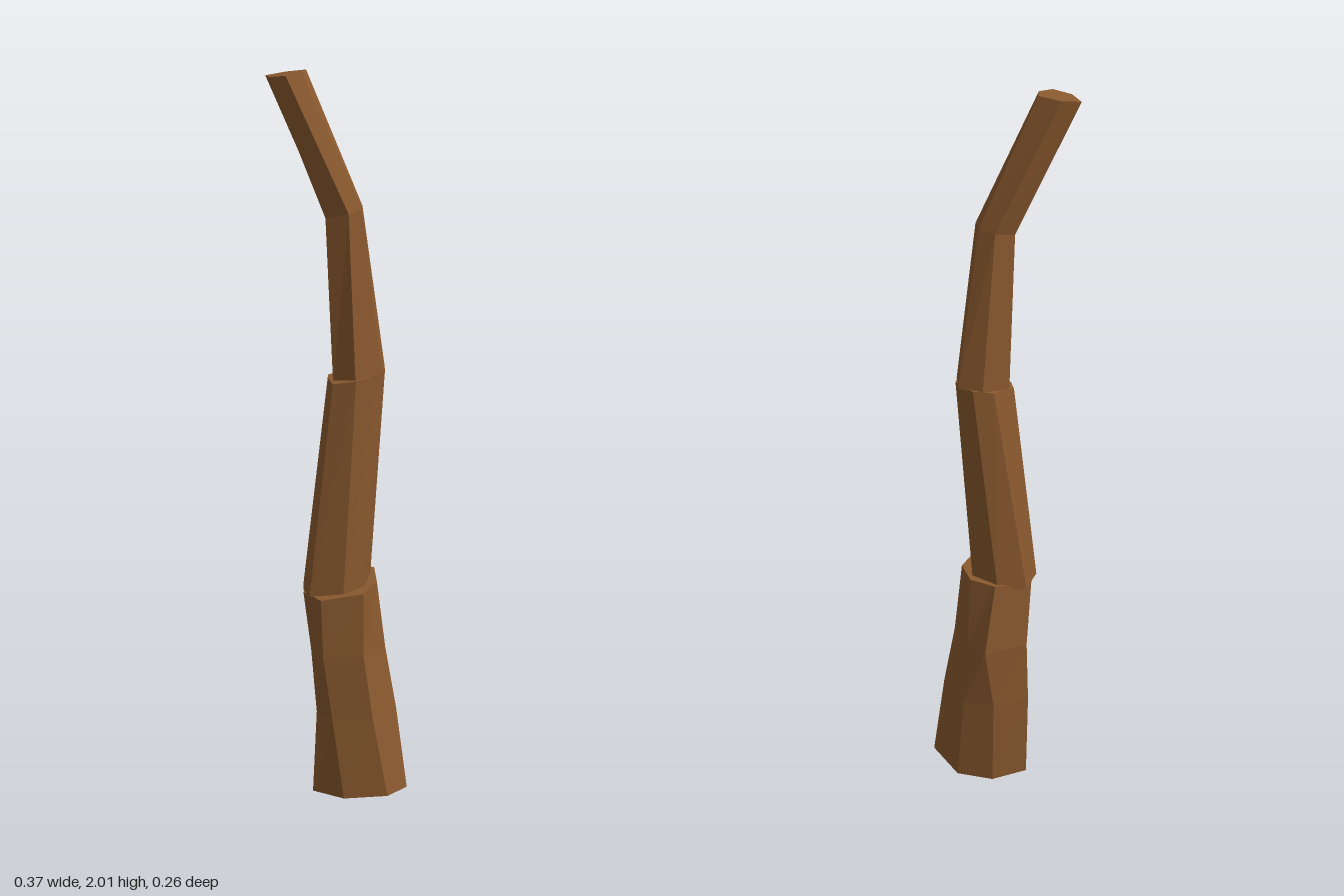
import * as THREE from 'three';

// Each ring: centre height y, slope along x and z, and corner points [x, z]
// listed from the left side around the front to the right and back.
const ring = (y, slopeX, slopeZ, points) =>
  points.map(([x, z]) => [x, y + slopeX * x + slopeZ * z, z]);

// Skins a stack of rings with flat faces and closes both ends.
function loft(name, rings, material) {
  const position = [];
  const tri = (a, b, c) => position.push(...a, ...b, ...c);
  const n = rings[0].length;
  for (let r = 0; r + 1 < rings.length; r++) {
    const low = rings[r], high = rings[r + 1];
    for (let i = 0; i < n; i++) {
      const j = (i + 1) % n;
      tri(low[i], low[j], high[j]);
      tri(low[i], high[j], high[i]);
    }
  }
  const base = rings[0], tip = rings[rings.length - 1];
  for (let i = 1; i + 1 < n; i++) {
    tri(base[0], base[i + 1], base[i]);
    tri(tip[0], tip[i], tip[i + 1]);
  }
  const geometry = new THREE.BufferGeometry();
  geometry.setAttribute('position', new THREE.Float32BufferAttribute(position, 3));
  geometry.computeVertexNormals();
  const mesh = new THREE.Mesh(geometry, material);
  mesh.name = name;
  return mesh;
}

export function createModel() {
  const bark = new THREE.MeshStandardMaterial({ color: 0x8b5a2f, flatShading: true });
  bark.name = 'brown bark';
  const group = new THREE.Group();
  group.name = 'crookedTrunk';

  // Thick foot of the trunk
  group.add(loft('trunkBase', [
    ring(0.01, 0.03, 0.13, [[-0.075, 0.02], [0, 0.125], [0.12, 0.13], [0.185, 0.05], [0.15, -0.07], [0.06, -0.115], [-0.045, -0.1]]),
    ring(0.25, 0.03, 0, [[-0.065, 0.03], [-0.03, 0.11], [0.08, 0.12], [0.155, 0.04], [0.135, -0.085], [0.06, -0.125], [-0.045, -0.115]]),
    ring(0.43, 0, 0, [[-0.08, 0.03], [-0.055, 0.105], [0.055, 0.115], [0.125, 0.03], [0.12, -0.075], [0.085, -0.13], [-0.04, -0.115]]),
    ring(0.61, 0.15, -0.1, [[-0.1, 0.02], [-0.06, 0.1], [0.055, 0.105], [0.1, 0.04], [0.105, -0.06], [0.05, -0.11], [-0.05, -0.1]]),
  ], bark));

  // Long middle length, leaning to the model's left
  group.add(loft('trunkMiddle', [
    ring(0.61, 0.1, 0, [[-0.1, 0.02], [-0.09, 0.09], [0, 0.108], [0.06, 0.065], [0.09, -0.03], [0.04, -0.1], [-0.04, -0.11], [-0.095, -0.03]]),
    ring(1.19, 0.15, 0, [[-0.03, 0], [-0.025, 0.08], [0.035, 0.095], [0.1, 0.055], [0.125, 0], [0.095, -0.06], [0.04, -0.07], [-0.025, -0.04]]),
  ], bark));

  // Narrowing upper length and the bent tip
  group.add(loft('trunkTop', [
    ring(1.18, 0.2, 0, [[-0.02, 0.04], [0.035, 0.085], [0.11, 0.04], [0.128, -0.03], [0.07, -0.065], [-0.01, -0.045]]),
    ring(1.63, 0.25, 0, [[-0.038, 0.02], [0.02, 0.05], [0.06, 0.025], [0.065, -0.02], [0.03, -0.05], [-0.03, -0.03]]),
    ring(2.015, 0.16, 0, [[-0.18, -0.03], [-0.14, 0.005], [-0.095, -0.02], [-0.08, -0.06], [-0.13, -0.095], [-0.185, -0.09]]),
  ], bark));
  return group;
}
